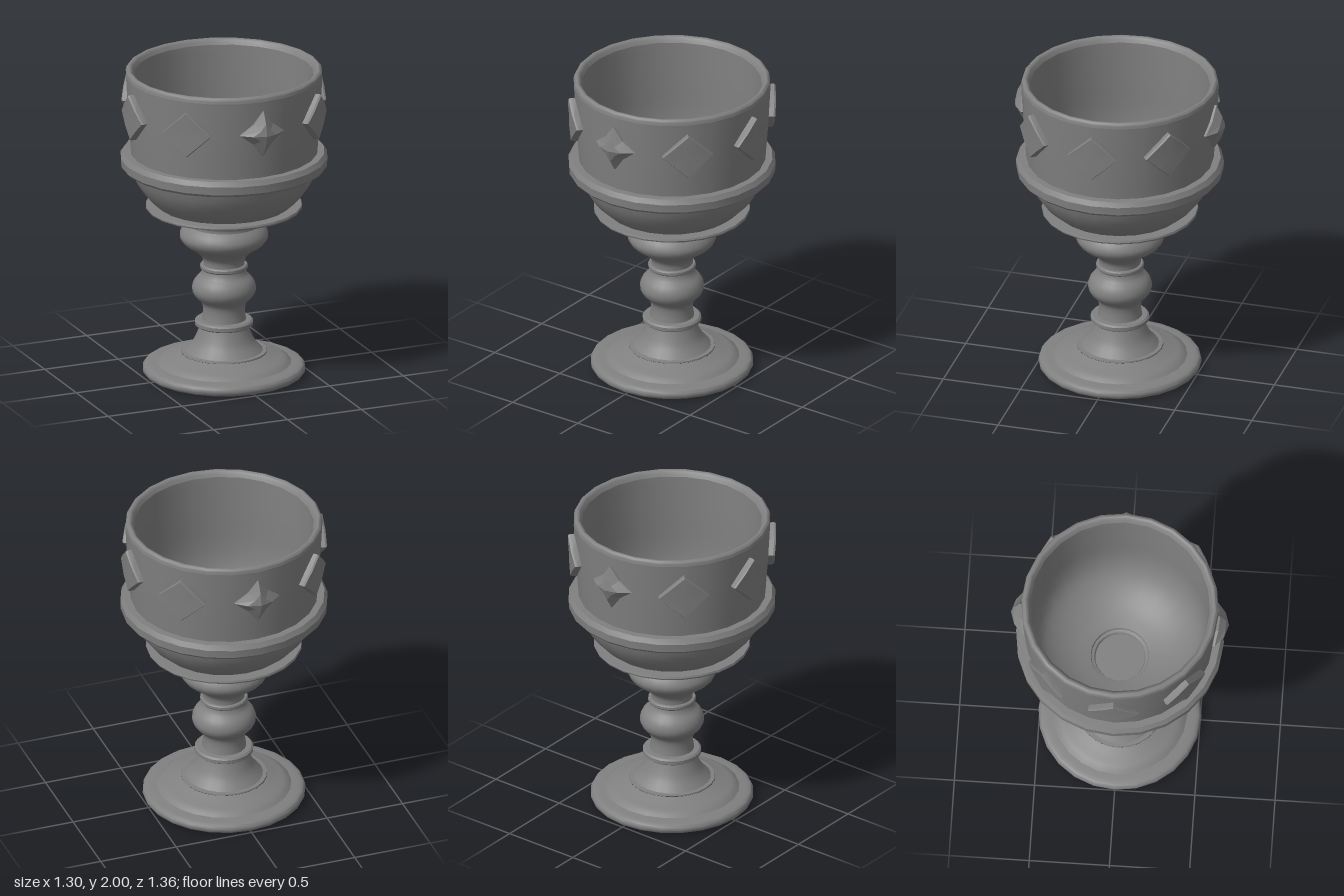
import * as THREE from 'three';
import { toCreasedNormals } from 'three/addons/utils/BufferGeometryUtils.js';

const SIDES = 24;
const BAND_Y = 1.757;

export function createModel() {
  const group = new THREE.Group();
  group.name = 'goblet';
  const material = new THREE.MeshStandardMaterial({ color: 0x808080 });

  const add = (name, geometry) => {
    const mesh = new THREE.Mesh(geometry, material);
    mesh.name = name;
    group.add(mesh);
    return mesh;
  };
  const vectors = (points) => points.map(([r, y]) => new THREE.Vector2(r, y));
  const turn = (points, crease) =>
    toCreasedNormals(new THREE.LatheGeometry(points, SIDES), crease);

  // Straight-edged turned part, with sharp corners
  const turned = (name, points) => add(name, turn(vectors(points), 0.6));
  // Softly curved turned part, its profile passing through the points
  const curved = (name, points) => {
    const samples = new THREE.SplineCurve(vectors(points)).getPoints(points.length * 3);
    return add(name, turn(samples, 1.2));
  };

  // Foot: hollow underside, rounded edge, domed top
  turned('footRecess', [[0, 0.112], [0.152, 0.112], [0.165, 0.098]]);
  curved('footUnderside', [[0.165, 0.098], [0.3, 0.065], [0.41, 0.025], [0.47, 0]]);
  curved('footEdge', [[0.47, 0], [0.5, 0.015], [0.508, 0.04], [0.49, 0.067], [0.42, 0.077]]);
  curved('footDome', [[0.42, 0.077], [0.385, 0.102], [0.33, 0.122], [0.27, 0.145]]);
  turned('footLip', [[0.255, 0.14], [0.27, 0.146], [0.268, 0.154], [0.23, 0.156]]);

  // Stem with two knops and two collars
  curved('stemBase', [[0.245, 0.153], [0.195, 0.21], [0.165, 0.27], [0.145, 0.325]]);
  turned('lowerCollar', [[0.13, 0.316], [0.172, 0.316], [0.183, 0.325], [0.183, 0.347],
    [0.172, 0.357], [0.13, 0.359]]);
  curved('lowerKnop', [[0.14, 0.35], [0.132, 0.41], [0.14, 0.465], [0.185, 0.515],
    [0.2, 0.56], [0.185, 0.61], [0.145, 0.655], [0.132, 0.695]]);
  turned('upperCollar', [[0.12, 0.687], [0.143, 0.687], [0.149, 0.695], [0.149, 0.711],
    [0.143, 0.719], [0.12, 0.719]]);
  curved('upperKnop', [[0.13, 0.71], [0.135, 0.76], [0.18, 0.81], [0.25, 0.857],
    [0.277, 0.905], [0.262, 0.95], [0.23, 0.983]]);

  // Bowl, outside
  curved('bowlNeck', [[0.23, 0.983], [0.235, 1.012], [0.29, 1.05], [0.4, 1.094]]);
  turned('bowlFlange', [[0.39, 1.092], [0.485, 1.092], [0.489, 1.102], [0.485, 1.113], [0.4, 1.113]]);
  curved('bowlBelly', [[0.41, 1.11], [0.49, 1.185], [0.55, 1.275], [0.585, 1.37]]);
  turned('bowlBand', [[0.57, 1.362], [0.63, 1.362], [0.645, 1.379], [0.648, 1.43],
    [0.628, 1.46], [0.58, 1.46]]);
  curved('bowlWall', [[0.583, 1.45], [0.598, 1.65], [0.61, 1.85], [0.616, 1.965]]);
  curved('rim', [[0.616, 1.965], [0.61, 1.99], [0.595, 2], [0.578, 1.993], [0.56, 1.965]]);

  // Bowl, inside
  curved('bowlInside', [[0.56, 1.965], [0.552, 1.7], [0.545, 1.45], [0.505, 1.29],
    [0.42, 1.19], [0.3, 1.12], [0.182, 1.085]]);
  turned('bowlFloor', [[0.182, 1.085], [0.178, 1.07], [0.16, 1.065], [0.154, 1.048], [0, 1.048]]);

  // Ornament bent round the bowl: profile is [share of size, radius from the bowl's axis],
  // waist is how far the outline reaches midway between its four tips
  const lozenge = (halfWidth, halfHeight, waist, profile, crease) => {
    const geometry = new THREE.LatheGeometry(vectors(profile), 8);
    geometry.rotateX(Math.PI / 2);
    const p = geometry.attributes.position;
    for (let i = 0; i < p.count; i++) {
      const diagonal = Math.abs(p.getX(i) * p.getY(i)) > 0.001;
      const share = diagonal ? waist : 1;
      const angle = (p.getX(i) * share * halfWidth) / 0.645;
      const y = p.getY(i) * share * halfHeight;
      const radius = p.getZ(i) + y * 0.05;
      p.setXYZ(i, radius * Math.sin(angle), BAND_Y + y, radius * Math.cos(angle));
    }
    return toCreasedNormals(geometry, crease);
  };
  const plate = lozenge(0.165, 0.15, Math.SQRT1_2,
    [[1, 0.59], [1, 0.634], [0.95, 0.645], [0, 0.645]], 0.4);
  const stud = lozenge(0.158, 0.15, 0.6,
    [[1, 0.59], [1, 0.618], [0.5, 0.66], [0, 0.68]], 0.1);

  // Eight ornaments: studs at front and back, plates between them
  for (let i = 0; i < 8; i++) {
    const isStud = i % 4 === 0;
    add(isStud ? 'pointedStud' : 'diamondPlate', isStud ? stud : plate).rotation.y = (i * Math.PI) / 4;
  }
  return group;
}
